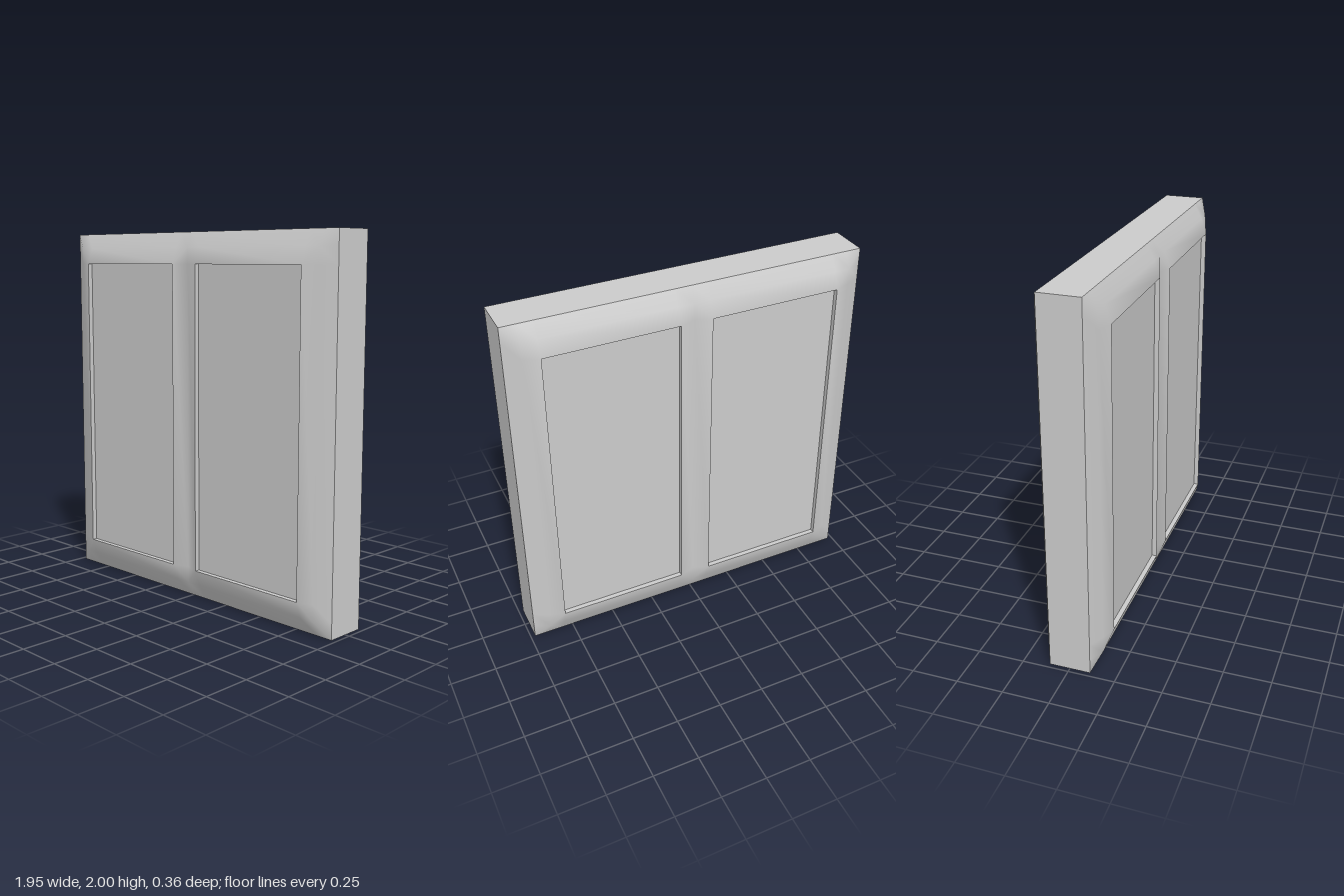
import * as THREE from 'three';

const H = 2, W = 1.95;            // overall height and width
const EDGE = 0.11;                // half depth at the outer rim
const MID = 0.152;                // half depth along the mid line of each frame member
const LIP = 0.182;                // half depth at the lip round each pane
const PANE = 0.155;               // half depth of the panes
const X = [-W / 2, -0.89, -0.807, -0.087, 0, 0.087, 0.807, 0.89, W / 2];
const Y = [0, 0.083, 0.172, 1.83, 1.918, H];

// Sloped, mitred face of the frame with two pane openings
function frameFace() {
  const nx = X.length, ny = Y.length;
  const pos = [], index = [];
  const height = (i, j) => {
    if (i === 0 || i === nx - 1 || j === 0 || j === ny - 1) return EDGE;
    const atPaneCorner = [2, 3, 5, 6].includes(i) && (j === 2 || j === 3);
    return atPaneCorner ? LIP : MID;
  };
  for (let j = 0; j < ny; j++)
    for (let i = 0; i < nx; i++) pos.push(X[i], Y[j], height(i, j));

  for (let j = 0; j < ny - 1; j++) {
    for (let i = 0; i < nx - 1; i++) {
      if (j === 2 && (i === 2 || i === 5)) continue; // pane opening
      const a = j * nx + i, b = a + 1, c = b + nx, d = a + nx;
      // split each cell along its mitre
      const rise = Math.abs(height(i, j) - height(i + 1, j + 1));
      const cross = Math.abs(height(i + 1, j) - height(i, j + 1));
      if (rise > cross) index.push(a, b, c, a, c, d);
      else index.push(a, b, d, b, c, d);
    }
  }
  const geo = new THREE.BufferGeometry();
  geo.setAttribute('position', new THREE.Float32BufferAttribute(pos, 3));
  geo.setIndex(index);
  geo.computeVertexNormals();
  return geo;
}

export function createModel() {
  const model = new THREE.Group();
  const mat = new THREE.MeshStandardMaterial({ color: 0xcccccc });
  const thin = new THREE.MeshStandardMaterial({ color: 0xcccccc, side: THREE.DoubleSide });
  const add = (parent, name, geo, x, y, z, material = mat) => {
    const mesh = new THREE.Mesh(geo, material);
    mesh.name = name;
    mesh.position.set(x, y, z);
    parent.add(mesh);
    return mesh;
  };

  // Flat outer rim
  add(model, 'frameRim', new THREE.BoxGeometry(W, H, EDGE * 2), 0, H / 2, 0);

  // Two panes, shared by front and back
  const paneW = X[6] - X[5], paneH = Y[3] - Y[2];
  const paneX = (X[5] + X[6]) / 2, paneY = (Y[2] + Y[3]) / 2;
  for (const s of [1, -1])
    add(model, s > 0 ? 'leftPane' : 'rightPane', new THREE.BoxGeometry(paneW, paneH, PANE * 2), s * paneX, paneY, 0);

  // Front and back: sloped frame face plus the shallow reveals round the panes
  const faceGeo = frameFace();
  const depth = LIP - PANE, z = (LIP + PANE) / 2;
  for (const name of ['front', 'back']) {
    const side = new THREE.Group();
    side.name = name + 'Frame';
    if (name === 'back') side.rotation.y = Math.PI;
    add(side, name + 'FrameFace', faceGeo, 0, 0, 0);
    for (const s of [1, -1]) {
      for (const e of [1, -1]) {
        const jamb = add(side, 'paneJamb', new THREE.PlaneGeometry(depth, paneH),
          s * paneX + e * paneW / 2, paneY, z, thin);
        jamb.rotation.y = -e * Math.PI / 2;
        const sill = add(side, e > 0 ? 'paneHead' : 'paneSill', new THREE.PlaneGeometry(paneW, depth),
          s * paneX, paneY + e * paneH / 2, z, thin);
        sill.rotation.x = e * Math.PI / 2;
      }
    }
    model.add(side);
  }
  return model;
}
